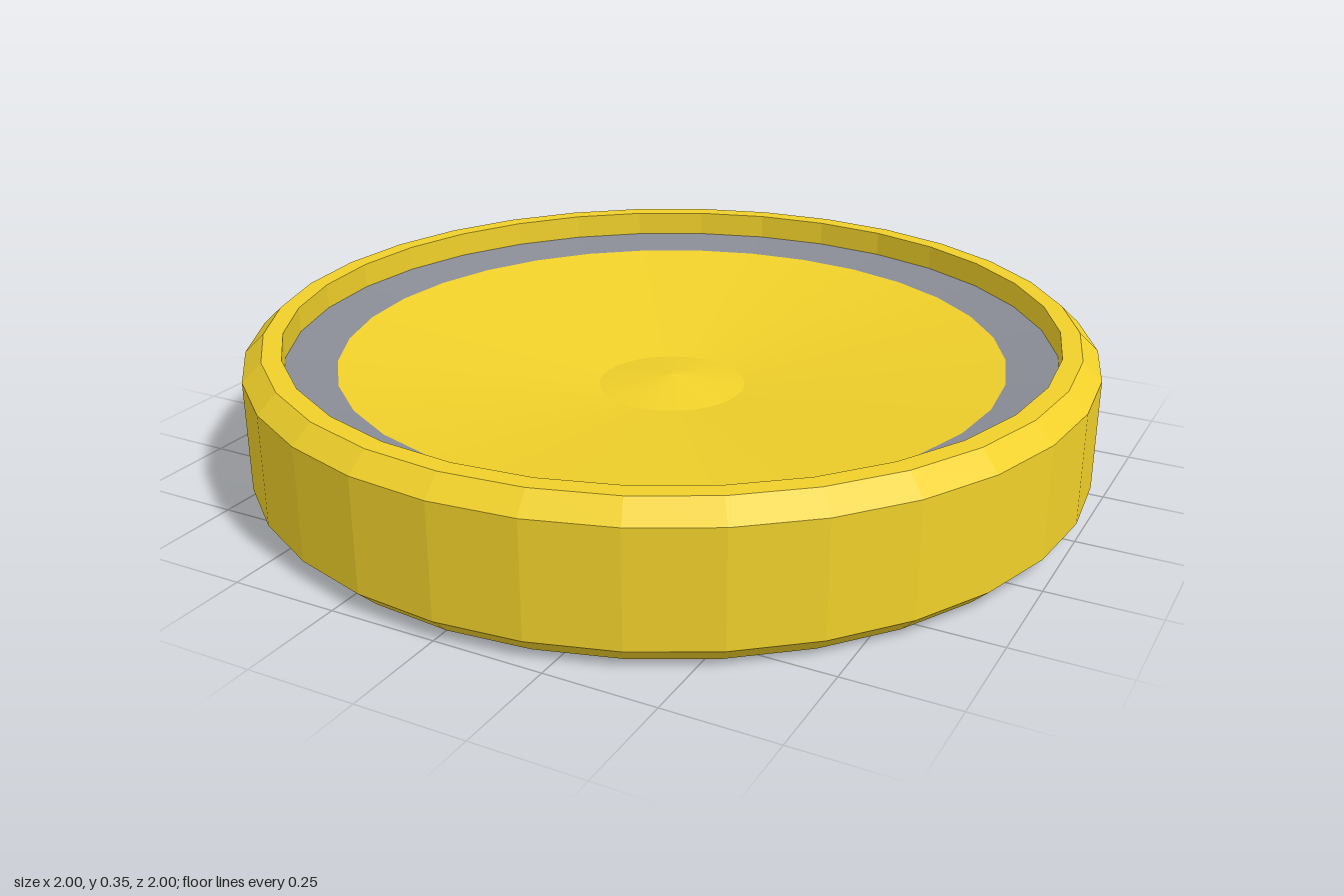
import * as THREE from 'three';

const SIDES = 32;
const HEIGHT = 0.348;

// Profiles are [radius, height] pairs turned about the y axis.
function turned(name, profile, material) {
  const points = profile.map(([r, y]) => new THREE.Vector2(r, y));
  const mesh = new THREE.Mesh(new THREE.LatheGeometry(points, SIDES), material);
  mesh.name = name;
  return mesh;
}

// The same profile on the underside, reversed so it faces down.
const mirrored = (profile) => profile.map(([r, y]) => [r, HEIGHT - y]).reverse();

export function createModel() {
  const group = new THREE.Group();
  group.name = 'dishedDisc';

  const gold = new THREE.MeshStandardMaterial({ color: 0xf0d02a, flatShading: true });
  const grey = new THREE.MeshStandardMaterial({ color: 0x898c95, flatShading: true });

  // Chamfered rim, from the inner lip below, round the outside, to the inner lip above
  const rimTop = [[1, 0.305], [0.955, HEIGHT], [0.91, HEIGHT], [0.91, 0.287]];
  group.add(turned('rim', [...mirrored(rimTop), ...rimTop], gold));

  // Each face: a grey band, a shallow dish and a low conical hub
  const faceParts = [
    ['Band', [[0.91, 0.287], [0.79, 0.273]], grey],
    ['Dish', [[0.79, 0.273], [0.175, 0.187]], gold],
    ['Hub', [[0.175, 0.187], [0, 0.212]], gold],
  ];
  for (const [part, profile, material] of faceParts) {
    group.add(turned('top' + part, profile, material));
    group.add(turned('bottom' + part, mirrored(profile), material));
  }
  return group;
}
